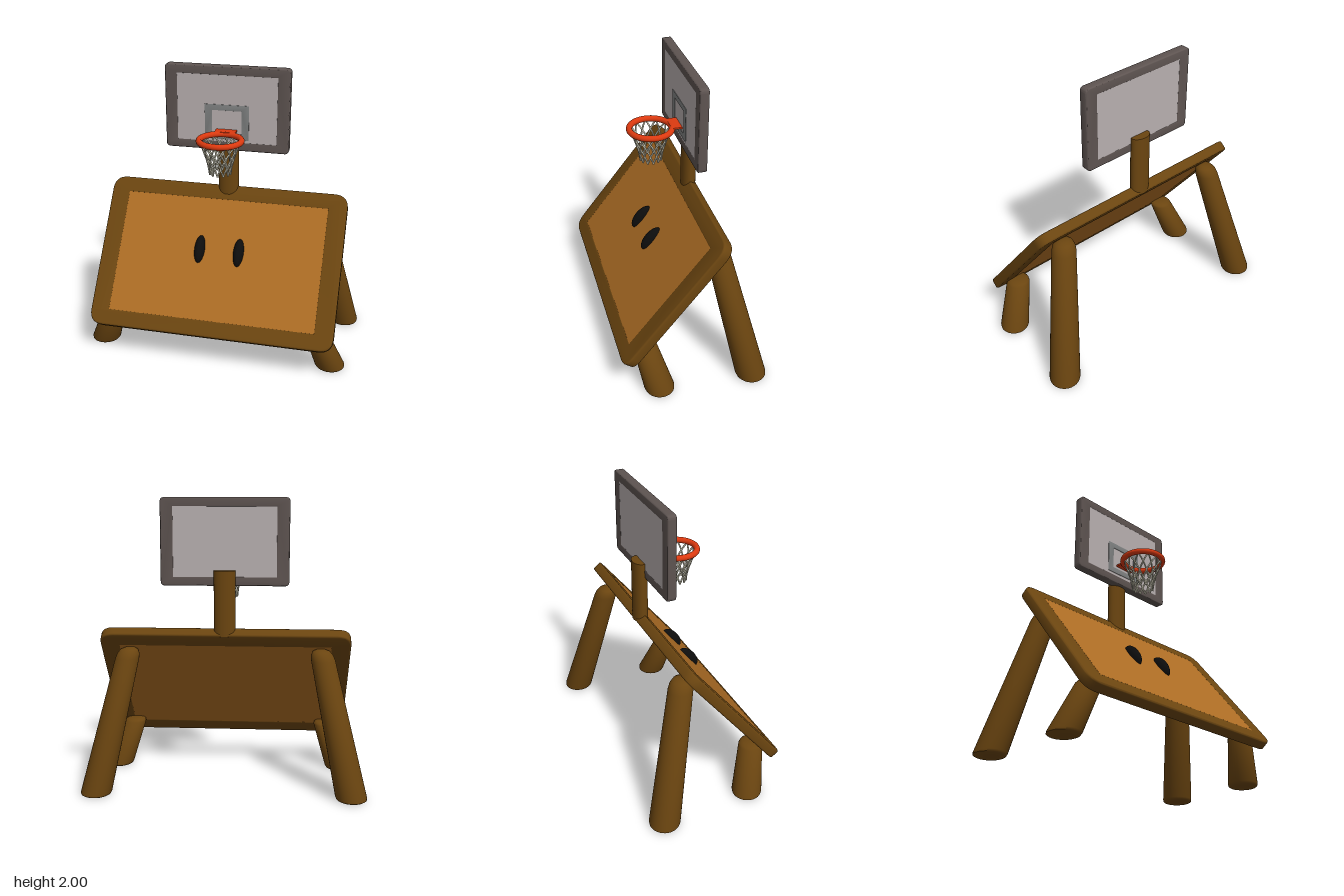
import * as THREE from 'three';
import { toCreasedNormals } from 'three/addons/utils/BufferGeometryUtils.js';

const material = (name, color) => {
  const m = new THREE.MeshStandardMaterial({ color });
  m.name = name;
  return m;
};

function addMesh(parent, name, geometry, mat, x = 0, y = 0, z = 0) {
  const mesh = new THREE.Mesh(geometry, mat);
  mesh.name = name;
  mesh.position.set(x, y, z);
  parent.add(mesh);
  return mesh;
}

function roundedRect(path, w, h, r) {
  const x = w / 2, y = h / 2;
  path.moveTo(-x + r, -y);
  path.lineTo(x - r, -y);
  path.quadraticCurveTo(x, -y, x, -y + r);
  path.lineTo(x, y - r);
  path.quadraticCurveTo(x, y, x - r, y);
  path.lineTo(-x + r, y);
  path.quadraticCurveTo(-x, y, -x, y - r);
  path.lineTo(-x, -y + r);
  path.quadraticCurveTo(-x, -y, -x + r, -y);
  return path;
}

// Rounded frame with a rectangular opening, centred on z = 0
function frameGeometry(w, h, depth, radius, holeW, holeH, bevel) {
  const shape = roundedRect(new THREE.Shape(), w, h, radius);
  const x = holeW / 2 - bevel, y = holeH / 2 - bevel;
  const hole = new THREE.Path();
  hole.moveTo(-x, -y).lineTo(-x, y).lineTo(x, y).lineTo(x, -y).lineTo(-x, -y);
  shape.holes.push(hole);
  const geometry = new THREE.ExtrudeGeometry(shape, {
    depth: depth - 2 * bevel, bevelEnabled: true, bevelThickness: bevel,
    bevelSize: bevel, bevelOffset: -bevel, bevelSegments: 3, curveSegments: 8,
  });
  geometry.translate(0, 0, bevel - depth / 2);
  return toCreasedNormals(geometry, 0.6);
}

// Tapered leg, flat on the ground, leaning from foot to top
function legGeometry(foot, top, rFoot, rTop, height, round) {
  const profile = [
    [0, 0], [rFoot - 0.015, 0], [rFoot - 0.004, 0.006], [rFoot, 0.02],
    [rTop, height - round], [rTop * 0.92, height - round * 0.55],
    [rTop * 0.72, height - round * 0.2], [rTop * 0.4, height - round * 0.04], [0, height],
  ].map(([r, y]) => new THREE.Vector2(r, y));
  const geometry = new THREE.LatheGeometry(profile, 32);
  const p = geometry.attributes.position;
  for (let i = 0; i < p.count; i++) {
    const t = p.getY(i) / height;
    p.setX(i, p.getX(i) + foot[0] + (top[0] - foot[0]) * t);
    p.setZ(i, p.getZ(i) + foot[1] + (top[1] - foot[1]) * t);
  }
  return toCreasedNormals(geometry, 0.8);
}

// One net strand winding down inside the hoop
function strandGeometry(start, twist) {
  const points = [];
  for (let i = 0; i <= 6; i++) {
    const t = i / 6;
    const r = 0.072 + 0.066 * Math.pow(1 - t, 1.5);
    const a = start + twist * t;
    points.push(new THREE.Vector3(Math.cos(a) * r, -0.23 * t, Math.sin(a) * r));
  }
  return new THREE.TubeGeometry(new THREE.CatmullRomCurve3(points), 12, 0.006, 6);
}

export function createModel() {
  const model = new THREE.Group();
  model.name = 'hoopTable';

  const darkWood = material('dark wood', 0x6b4510);
  const lightWood = material('light wood', 0xac6c24);
  const black = material('black', 0x0d0d0d);
  const darkGrey = material('dark grey', 0x5e5451);
  const paleGrey = material('pale grey', 0xb8b0b0);
  const midGrey = material('mid grey', 0x808282);
  const red = material('orange red', 0xdd3a10);
  const cream = material('cream', 0xd2ceb8);

  // Tilted board with its eyes
  const board = new THREE.Group();
  board.name = 'board';
  board.position.set(0, 0.672, 0.13);
  board.rotation.x = -0.67;
  model.add(board);
  addMesh(board, 'boardFrame', frameGeometry(1.72, 1.1, 0.072, 0.1, 1.47, 0.89, 0.012), darkWood);
  addMesh(board, 'boardPanel', new THREE.BoxGeometry(1.47, 0.89, 0.068), lightWood);
  for (const side of [-1, 1]) {
    const eye = addMesh(board, side > 0 ? 'leftEye' : 'rightEye',
      new THREE.SphereGeometry(1, 32, 20), black, side * 0.14, 0.06, 0.034);
    eye.scale.set(0.037, 0.1, 0.05);
  }

  // Legs, mirrored
  for (const side of [-1, 1]) {
    const word = side > 0 ? 'left' : 'right';
    addMesh(model, word + 'FrontLeg',
      legGeometry([side * 0.835, 0.245], [side * 0.71, 0.33], 0.103, 0.082, 0.345, 0.03), darkWood);
    addMesh(model, word + 'BackLeg',
      legGeometry([side * 0.87, -0.4], [side * 0.655, -0.18], 0.106, 0.082, 0.985, 0.075), darkWood);
  }

  // Oval post behind the backboard
  const post = addMesh(model, 'post',
    new THREE.CylinderGeometry(1, 1, 0.445, 32), darkWood, 0, 1.2925, -0.188);
  post.scale.set(0.073, 1, 0.05);

  // Backboard with target square
  const backboard = new THREE.Group();
  backboard.name = 'backboard';
  backboard.position.set(0, 1.705, -0.148);
  model.add(backboard);
  addMesh(backboard, 'backboardFrame', frameGeometry(0.87, 0.59, 0.062, 0.03, 0.71, 0.48, 0.008), darkGrey);
  addMesh(backboard, 'backboardPanel', new THREE.BoxGeometry(0.71, 0.48, 0.058), paleGrey);
  addMesh(backboard, 'targetSquare',
    frameGeometry(0.31, 0.245, 0.006, 0.002, 0.21, 0.165, 0.0005), midGrey, 0, -0.093, 0.029);

  // Hoop, bracket and net
  const hoop = new THREE.Group();
  hoop.name = 'hoop';
  hoop.position.set(0, 1.543, 0.08);
  model.add(hoop);
  const ring = addMesh(hoop, 'ring', new THREE.TorusGeometry(0.143, 0.021, 14, 48), red);
  ring.rotation.x = Math.PI / 2;
  addMesh(hoop, 'bracket', new THREE.BoxGeometry(0.146, 0.012, 0.072), red, 0, 0.012, -0.164);

  const net = new THREE.Group();
  net.name = 'net';
  net.position.y = -0.005;
  hoop.add(net);
  const count = 12;
  for (let i = 0; i < count; i++) {
    const a = (i / count) * Math.PI * 2;
    for (const dir of [-1, 1]) addMesh(net, 'netStrand', strandGeometry(a, dir * Math.PI / 3), cream);
  }
  return model;
}
